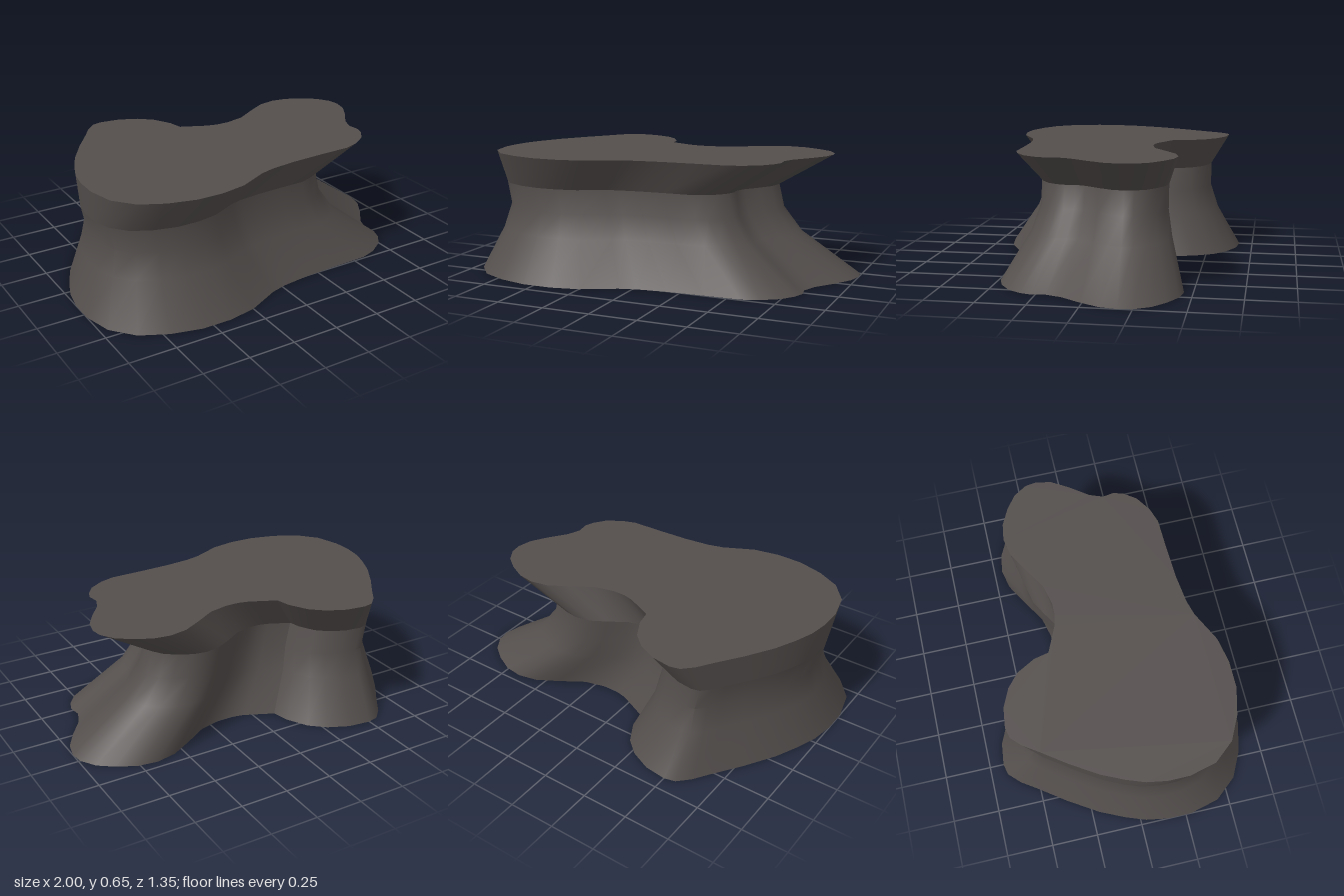
import * as THREE from 'three';
import { toCreasedNormals } from 'three/addons/utils/BufferGeometryUtils.js';

// Footprint at ground level, [x, z], counter-clockwise seen from above
const FOOTPRINT = [
  [-0.11, -0.34], [-0.13, -0.43], [-0.19, -0.54], [-0.27, -0.61], [-0.38, -0.66], [-0.50, -0.675],
  [-0.56, -0.66], [-0.62, -0.60], [-0.68, -0.51], [-0.78, -0.37], [-0.88, -0.21], [-0.94, -0.08],
  [-0.98, 0.03], [-1, 0.15], [-1, 0.28], [-0.96, 0.44], [-0.86, 0.56], [-0.72, 0.63],
  [-0.56, 0.67], [-0.40, 0.67], [-0.25, 0.64], [-0.07, 0.55], [0.02, 0.525], [0.18, 0.505],
  [0.38, 0.495], [0.57, 0.49], [0.66, 0.46], [0.75, 0.40], [0.80, 0.33], [0.82, 0.27],
  [0.81, 0.20], [0.84, 0.12], [0.92, 0.01], [0.98, -0.09], [1, -0.18], [0.99, -0.25],
  [0.94, -0.33], [0.86, -0.39], [0.76, -0.44], [0.66, -0.455], [0.552, -0.432], [0.442, -0.369],
  [0.309, -0.285], [0.188, -0.255], [0.11, -0.255], [0.045, -0.27],
];

// Each level is the footprint scaled and shifted: height, scale, x shift, z shift
const LEVELS = [
  [0, 1, 0, 0],
  [0.22, 0.795, -0.115, -0.0075],
  [0.35, 0.7275, -0.1475, -0.01],
  [0.475, 0.725, -0.175, -0.01],
  [0.65, 0.883, -0.0375, -0.0075],
];

const ring = ([y, s, dx, dz]) => FOOTPRINT.map(([x, z]) => [x * s + dx, y, z * s + dz]);

function geometryFrom(points) {
  const g = new THREE.BufferGeometry();
  g.setAttribute('position', new THREE.Float32BufferAttribute(points.flat(), 3));
  return toCreasedNormals(g, 0.65);
}

// Wall joining consecutive levels
function wall(levels) {
  const rings = levels.map(ring);
  const points = [];
  for (let k = 0; k + 1 < rings.length; k++) {
    const lo = rings[k], hi = rings[k + 1];
    for (let i = 0; i < lo.length; i++) {
      const j = (i + 1) % lo.length;
      points.push(lo[i], lo[j], hi[j], lo[i], hi[j], hi[i]);
    }
  }
  return geometryFrom(points);
}

// Flat cap filling one level
function cap(level, facesUp) {
  const r = ring(level);
  const tris = THREE.ShapeUtils.triangulateShape(r.map(p => new THREE.Vector2(p[0], -p[2])), []);
  return geometryFrom(tris.flatMap(([a, b, c]) => (facesUp ? [r[a], r[b], r[c]] : [r[a], r[c], r[b]])));
}

export function createModel() {
  const group = new THREE.Group();
  group.name = 'rockPlatform';
  const stone = new THREE.MeshStandardMaterial({ color: 0x544f4d });
  stone.name = 'dark stone';

  const add = (name, geometry) => {
    const mesh = new THREE.Mesh(geometry, stone);
    mesh.name = name;
    group.add(mesh);
  };

  add('flaredBase', wall(LEVELS.slice(0, 4)));
  add('overhangingRim', wall(LEVELS.slice(3)));
  add('topSurface', cap(LEVELS[4], true));
  add('underside', cap(LEVELS[0], false));
  return group;
}
